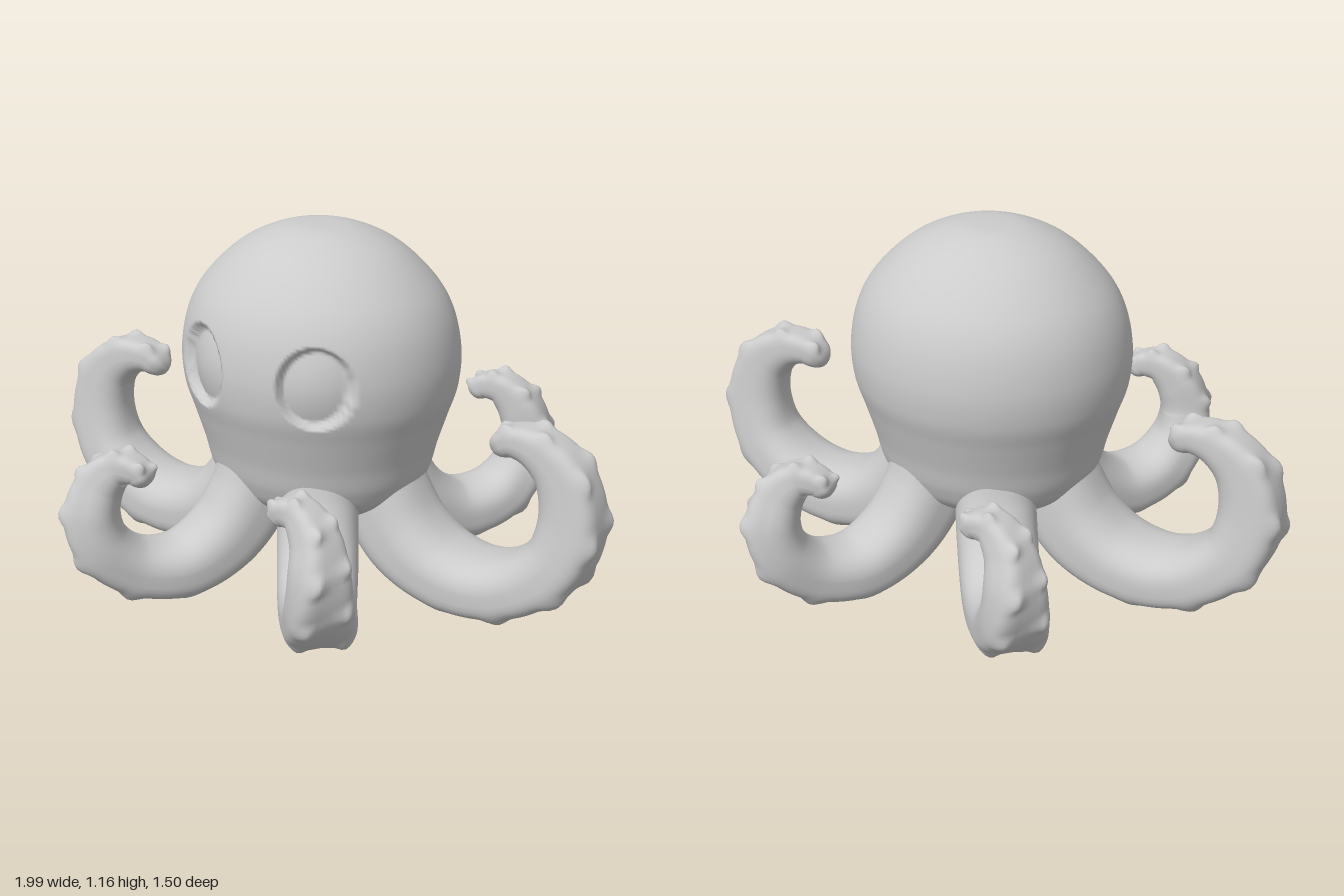
import * as THREE from 'three';
import { mergeVertices } from 'three/addons/utils/BufferGeometryUtils.js';

const material = new THREE.MeshStandardMaterial({ color: 0xcccccc });
const smooth = THREE.MathUtils.smoothstep;

// Domed head with two recessed oval eyes
function headGeometry() {
  const profile = [
    [0, 0.25], [0.2, 0.265], [0.31, 0.32], [0.355, 0.39], [0.38, 0.48], [0.412, 0.58], [0.44, 0.67],
    [0.446, 0.78], [0.42, 0.9], [0.36, 1.0], [0.25, 1.1], [0.12, 1.157], [0, 1.167],
  ].map(([r, y]) => new THREE.Vector2(r, y));
  const points = new THREE.SplineCurve(profile).getSpacedPoints(150);
  points[0].x = points[150].x = 0;
  let geo = new THREE.LatheGeometry(points, 160);
  const pos = geo.attributes.position;
  for (let i = 0; i < pos.count; i++) {
    const y = pos.getY(i);
    const r = Math.hypot(pos.getX(i), pos.getZ(i));
    // pack the columns more closely around the face
    const a = Math.atan2(pos.getX(i), pos.getZ(i));
    const angle = a - 0.65 * Math.sin(a);
    let x = r * Math.sin(angle), z = r * Math.cos(angle) * 0.92;
    const d = Math.hypot((Math.abs(x) - 0.203) / 0.106, (y - 0.768) / 0.125);
    if (z > 0 && d < 1) {
      const depth = (0.022 + 0.012 * d * d) * (1 - smooth(d, 0.9, 1));
      x *= 1 - depth / 0.42;
      z *= 1 - depth / 0.42;
    }
    pos.setXYZ(i, x, y, z);
  }
  geo.deleteAttribute('uv');
  geo.deleteAttribute('normal');
  geo = mergeVertices(geo, 1e-5);
  geo.computeVertexNormals();
  return geo;
}

// Rows hold centre x, y, z, half width, half thickness
const sideArm = [
  [0.2, 0.46, 0, 0.13, 0.12], [0.25, 0.32, 0, 0.14, 0.13], [0.33, 0.205, 0, 0.145, 0.125],
  [0.45, 0.13, 0, 0.145, 0.11], [0.6, 0.108, 0, 0.14, 0.1], [0.74, 0.15, 0, 0.128, 0.1],
  [0.85, 0.25, 0, 0.108, 0.103], [0.885, 0.39, 0, 0.088, 0.102], [0.85, 0.52, 0, 0.075, 0.09],
  [0.765, 0.59, 0, 0.066, 0.07], [0.68, 0.598, 0, 0.056, 0.053], [0.615, 0.555, 0, 0.045, 0.04],
];
const cornerArm = [
  [0.11, 0.46, 0.18, 0.12, 0.12], [0.13, 0.32, 0.22, 0.125, 0.12], [0.18, 0.195, 0.3, 0.125, 0.11],
  [0.255, 0.122, 0.42, 0.12, 0.095], [0.34, 0.14, 0.54, 0.112, 0.088], [0.395, 0.23, 0.63, 0.1, 0.088],
  [0.41, 0.34, 0.655, 0.085, 0.086], [0.385, 0.44, 0.635, 0.068, 0.075], [0.325, 0.5, 0.615, 0.054, 0.058],
  [0.265, 0.495, 0.605, 0.045, 0.046], [0.232, 0.455, 0.6, 0.038, 0.034],
];

// Curling arm: rounded inside, flatter outside with two rows of suckers
function armGeometry(rows, baseSide, mirrorX, mirrorZ) {
  const path = new THREE.CatmullRomCurve3(rows.map(p => new THREE.Vector3(p[0], p[1], p[2])));
  const size = new THREE.CatmullRomCurve3(rows.map(p => new THREE.Vector3(p[3], p[4], 0)));
  const steps = 120, sides = 40;
  const tipSide = new THREE.Vector3(0, 0, -1);
  const verts = [], index = [];
  for (let i = 0; i <= steps; i++) {
    // the last steps slow down for a round tip
    const t = i < 108 ? i / 108 * 0.94 : 0.94 + 0.06 * Math.sin((i - 108) / 12 * Math.PI / 2);
    const cap = t < 0.94 ? 1 : Math.sqrt(Math.max(0, 1 - ((t - 0.94) / 0.06) ** 2));
    const centre = path.getPoint(t), tangent = path.getTangent(t), s = size.getPoint(t);
    const b = baseSide.clone().lerp(tipSide, smooth(t, 0.25, 0.9));
    const n = b.clone().cross(tangent).normalize();
    b.crossVectors(tangent, n);
    for (let j = 0; j < sides; j++) {
      const a = j / sides * Math.PI * 2, c = Math.cos(a), sn = Math.sin(a);
      const e = sn > 0 ? 0.55 : 0.85;
      const u = Math.sign(c) * Math.abs(c) ** e;
      let v = Math.sign(sn) * Math.abs(sn) ** e;
      let out = 0;
      if (sn > 0) {
        const wave = Math.sin(t * 62 + (c > 0 ? 0 : 1.6));
        const row = Math.exp(-(((Math.abs(u) - 0.62) / 0.25) ** 2));
        out = 0.017 * Math.max(0, wave) ** 1.5 * row * smooth(t, 0.25, 0.4) - 0.006;
      }
      const p = centre.clone()
        .addScaledVector(b, u * s.x * cap)
        .addScaledVector(n, (v * s.y + out) * cap);
      verts.push(p.x * mirrorX, p.y, p.z * mirrorZ);
      if (i < steps) {
        const k = (j + 1) % sides;
        const p0 = i * sides + j, p1 = p0 + sides, p2 = i * sides + k, p3 = p2 + sides;
        if (mirrorX * mirrorZ > 0) index.push(p0, p1, p2, p2, p1, p3);
        else index.push(p0, p2, p1, p2, p3, p1);
      }
    }
  }
  let geo = new THREE.BufferGeometry();
  geo.setAttribute('position', new THREE.Float32BufferAttribute(verts, 3));
  geo.setIndex(index);
  geo = mergeVertices(geo, 1e-5);
  geo.computeVertexNormals();
  return geo;
}

export function createModel() {
  const model = new THREE.Group();
  model.name = 'octopus';
  const add = (name, geo) => {
    const mesh = new THREE.Mesh(geo, material);
    mesh.name = name;
    model.add(mesh);
  };
  add('head', headGeometry());

  const straight = new THREE.Vector3(0, 0, -1);
  const slanted = new THREE.Vector3(0.85, 0, -0.52);
  for (const x of [1, -1]) {
    const side = x > 0 ? 'left' : 'right';
    add(`${side}MiddleArm`, armGeometry(sideArm, straight, x, 1));
    add(`${side}FrontArm`, armGeometry(cornerArm, slanted, x, 1));
    add(`${side}BackArm`, armGeometry(cornerArm, slanted, x, -1));
  }
  return model;
}
